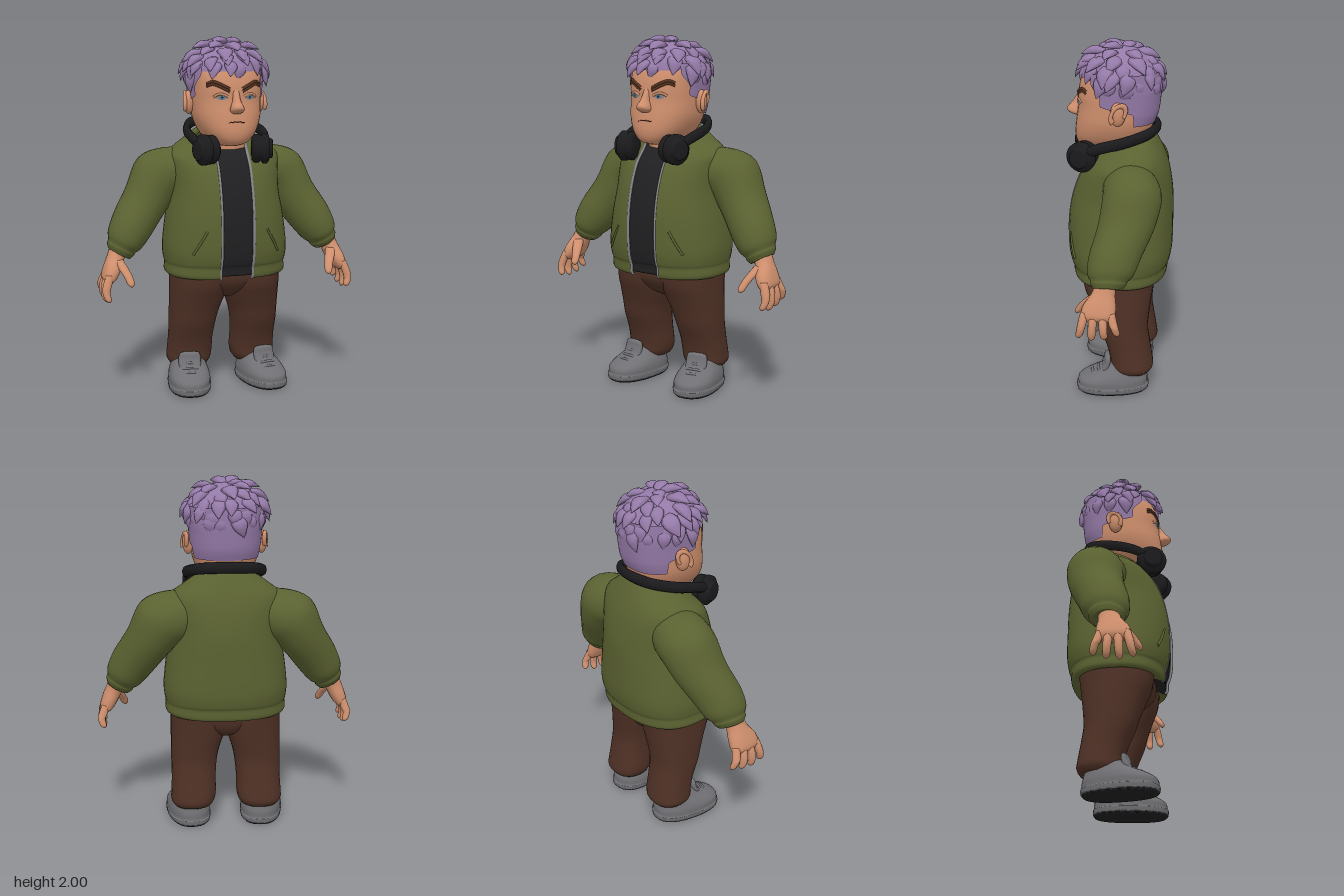
import * as THREE from 'three';
import { mergeGeometries } from 'three/addons/utils/BufferGeometryUtils.js';

const mat = (name, color, side = THREE.FrontSide) => {
  const m = new THREE.MeshStandardMaterial({ color, side });
  m.name = name;
  return m;
};
const V = (x, y, z) => new THREE.Vector3(x, y, z);
let seed = 7;
const rnd = () => ((seed = (seed * 16807) % 2147483647) / 2147483647) - 0.5;

// Section key: [x, y, z, rx, rz, power, tilt, slope]; smoothly interpolated
function dense(keys, steps) {
  const full = keys.map(k => [0, 0, 0, 0, 0, 2, 0, 0].map((d, i) => k[i] ?? d));
  if (full[0][1] > full[full.length - 1][1]) full.reverse();
  const out = [];
  for (let i = 0; i < full.length - 1; i++) {
    const [a, b, c, d] = [-1, 0, 1, 2].map(o => full[Math.min(full.length - 1, Math.max(0, i + o))]);
    for (let s = 0; s < steps; s++) {
      const t = s / steps;
      out.push(b.map((v, q) => 0.5 * (2 * v + (c[q] - a[q]) * t + (2 * a[q] - 5 * v + 4 * c[q] - d[q]) * t * t
        + (3 * v - a[q] - 3 * c[q] + d[q]) * t * t * t)));
    }
  }
  out.push(full[full.length - 1]);
  return out;
}
const spow = (v, e) => Math.sign(v) * Math.abs(v) ** e;
function sectionPoint([x, y, z, rx, rz, p, tilt, slope], a) {
  const lx = rx * spow(Math.sin(a), 2 / p), lz = rz * spow(Math.cos(a), 2 / p);
  return V(x + lx * Math.cos(tilt), y + lx * Math.sin(tilt) - slope * lz, z + lz);
}
// Surface through the sections; start(key) gives the half angle of an opening at the front
function loft(keys, n = 28, steps = 4, start = null) {
  const rings = dense(keys, steps), pos = [], idx = [], cols = start ? n + 1 : n;
  rings.forEach(k => {
    const a0 = start ? start(k) : 0;
    for (let j = 0; j < cols; j++) pos.push(...sectionPoint(k, a0 + (j / n) * 2 * (Math.PI - a0)).toArray());
  });
  for (let i = 0; i < rings.length - 1; i++) for (let j = 0; j < n; j++) {
    const a = i * cols + j, b = i * cols + (j + 1) % cols;
    idx.push(a, b, a + cols, b, b + cols, a + cols);
  }
  if (!start) [0, rings.length - 1].forEach(r => {
    const c = pos.length / 3;
    pos.push(rings[r][0], rings[r][1], rings[r][2]);
    for (let j = 0; j < n; j++) {
      const a = r * cols + j, b = r * cols + (j + 1) % n;
      idx.push(...(r ? [a, b, c] : [b, a, c]));
    }
  });
  const g = new THREE.BufferGeometry();
  g.setAttribute('position', new THREE.Float32BufferAttribute(pos, 3));
  g.setIndex(idx);
  g.computeVertexNormals();
  return g;
}
const tube = (pts, r, seg = 24) => new THREE.TubeGeometry(new THREE.CatmullRomCurve3(pts), seg, r, 8);
const flip = (keys, s) => keys.map(k => k.map((v, i) => (i === 0 || i === 6 ? v * s : v)));

export function createModel() {
  const root = new THREE.Group();
  const skin = mat('skin', 0xcf8f6d), hairMat = mat('hair', 0x957aa8, THREE.DoubleSide);
  const green = mat('jacketGreen', 0x5b6231, THREE.DoubleSide), brown = mat('trouserBrown', 0x4f3125);
  const grey = mat('shoeGrey', 0x707074), black = mat('headphoneBlack', 0x1b1b1d), dark = mat('shirtCharcoal', 0x202022);
  const metal = mat('zipGrey', 0x85858a), browMat = mat('browBrown', 0x54321f), blue = mat('irisBlue', 0x587a90);
  const add = (name, geo, m, parent = root) => {
    const mesh = new THREE.Mesh(geo, m);
    mesh.name = name;
    parent.add(mesh);
    return mesh;
  };

  // Jacket body, open at the front, with turned-in hem and collar
  const body = [[0, 0.695, 0, 0.29, 0.2, 2.4], [0, 0.672, 0, 0.325, 0.25, 2.4], [0, 0.69, 0, 0.345, 0.265, 2.4],
    [0, 0.735, 0, 0.342, 0.268, 2.4], [0, 0.76, 0, 0.348, 0.28, 2.4], [0, 0.84, 0, 0.353, 0.293, 2.4], [0, 1.0, 0, 0.335, 0.295, 2.3],
    [0, 1.15, -0.01, 0.31, 0.282, 2.3], [0, 1.28, -0.025, 0.315, 0.248, 2.3], [0, 1.355, -0.035, 0.315, 0.212, 2.2, 0, 0.06],
    [0, 1.412, -0.03, 0.245, 0.182, 2, 0, 0.2], [0, 1.46, -0.025, 0.17, 0.155, 2, 0, 0.28], [0, 1.435, -0.025, 0.15, 0.14, 2, 0, 0.28]];
  const opening = k => Math.asin(Math.min(0.9, 0.095 / k[3]) ** (k[5] / 2));
  add('jacketBody', loft(body, 48, 4, opening), green);
  const rows = dense(body, 2).slice(2, -2);
  for (const s of [1, -1]) {
    add('zipEdge', tube(rows.map(k => sectionPoint(k, s * opening(k)).add(V(-s * 0.004, 0, -0.004))), 0.008, 50), metal);
    add('pocketWelt', tube([V(s * 0.17, 0.95, 0.268), V(s * 0.205, 0.89, 0.259), V(s * 0.245, 0.82, 0.239)], 0.007), green);
  }
  const inner = body.slice(2, 10).map(k => k.map((v, i) => (i === 3 || i === 4 ? v * 0.955 : v)));
  add('shirt', loft([...inner, [0, 1.385, -0.01, 0.14, 0.13]], 40), dark);

  // Neck and head
  add('neck', loft([[0, 1.3, -0.01, 0.13, 0.13], [0, 1.42, -0.01, 0.13, 0.14], [0, 1.58, -0.02, 0.14, 0.15]]), skin);
  const head = [[0, 1.405, 0.1, 0.05, 0.08, 2.2], [0, 1.425, 0.08, 0.1, 0.155, 2.3], [0, 1.48, 0.055, 0.15, 0.2, 2.4],
    [0, 1.56, 0.035, 0.183, 0.215, 2.4], [0, 1.65, 0.025, 0.19, 0.212, 2.4], [0, 1.73, 0.02, 0.19, 0.215, 2.5],
    [0, 1.82, 0.005, 0.19, 0.205, 2.3], [0, 1.9, 0, 0.14, 0.15], [0, 1.93, 0, 0.03, 0.03]];
  add('head', loft(head, 40), skin);
  const skull = dense(head, 20);
  const face = (x, y, lift = 0.003) => {
    const k = skull.reduce((m, c) => (Math.abs(c[1] - y) < Math.abs(m[1] - y) ? c : m));
    return V(x, y, k[2] + k[4] * (1 - Math.abs(x / k[3]) ** k[5]) ** (1 / k[5]) + lift);
  };
  const patch = (x0, y0, rx, ry, lift) => {
    const g = new THREE.CircleGeometry(1, 20).scale(rx, ry, 1), p = g.attributes.position;
    for (let i = 0; i < p.count; i++) p.setXYZ(i, ...face(x0 + p.getX(i), y0 + p.getY(i), lift).toArray());
    g.computeVertexNormals();
    return g;
  };
  add('nose', loft([[0, 1.585, 0.24, 0.02, 0.02], [0, 1.6, 0.252, 0.038, 0.04], [0, 1.622, 0.258, 0.036, 0.046],
    [0, 1.655, 0.242, 0.022, 0.034], [0, 1.7, 0.222, 0.02, 0.024], [0, 1.73, 0.212, 0.02, 0.015]], 16), skin);
  add('mouth', tube([-0.045, -0.02, 0, 0.02, 0.045].map(x => face(x, 1.542 - Math.abs(x) * 0.1, -0.001)), 0.0028), browMat);
  for (const s of [1, -1]) {
    add('eye', patch(s * 0.08, 1.672, 0.027, 0.013, 0.003), metal);
    add('iris', patch(s * 0.078, 1.673, 0.015, 0.013, 0.005), blue);
    add('pupil', patch(s * 0.078, 1.673, 0.006, 0.006, 0.007), black);
    add('eyelid', tube([0.045, 0.07, 0.095, 0.118].map((x, i) => face(s * x, [1.677, 1.689, 1.69, 1.676][i], 0)), 0.007), skin);
    // Brows slant down towards the nose
    const brow = [0.035, 0.06, 0.09, 0.12, 0.148].map((x, i) => face(s * x, [1.711, 1.724, 1.739, 1.75, 1.738][i], -0.003));
    [-0.007, 0.007].forEach(o => add('eyebrow', tube(brow.map(p => p.clone().add(V(0, o, 0))), 0.009), browMat));
    const ear = new THREE.Group();
    ear.name = 'ear';
    add('earShell', new THREE.SphereGeometry(1, 20, 14).scale(0.03, 0.066, 0.042), skin, ear);
    add('earRim', new THREE.TorusGeometry(0.04, 0.012, 8, 24, Math.PI * 1.5).scale(0.85, 1.3, 1).rotateY(Math.PI / 2).rotateX(-0.6)
      .translate(s * 0.02, 0.005, 0), skin, ear);
    ear.position.set(s * 0.205, 1.64, 0.002);
    ear.rotation.y = s * 0.25;
    root.add(ear);
  }

  // Hair: short back and sides with sideburns, crown and overlapping pointed locks
  const sides = [[0, 1.565, 0.025, 0.19, 0.212, 2.4], [0, 1.62, 0.015, 0.198, 0.222, 2.4], [0, 1.7, 0.008, 0.203, 0.226, 2.4],
    [0, 1.76, 0.005, 0.207, 0.228, 2.4], [0, 1.85, 0, 0.207, 0.222, 2.3]];
  add('hairSides', loft(sides, 40, 10, k => {
    const edge = -0.08 + 0.18 * THREE.MathUtils.smoothstep(k[1], 1.63, 1.68) + 0.05 * THREE.MathUtils.smoothstep(k[1], 1.72, 1.8);
    return Math.acos(spow((edge - k[2]) / k[4], k[5] / 2));
  }), hairMat);
  add('hairCrown', new THREE.SphereGeometry(1, 28, 12, 0, Math.PI * 2, 0, 1.45).scale(0.212, 0.178, 0.225).translate(0, 1.79, 0), hairMat);
  const lock = loft([[0, 0, -0.016, 0.026, 0.012], [0, 0.045, 0.004, 0.045, 0.021], [0, 0.09, 0.006, 0.036, 0.018],
    [0, 0.14, -0.008, 0.001, 0.001]], 8, 2);
  const locks = [];
  [[0.15, 3], [0.45, 7], [0.75, 10], [1.02, 13], [1.25, 15], [1.47, 16]].forEach(([t0, count], row) => {
    for (let i = 0; i < count; i++) {
      const t = t0 + rnd() * 0.14, f = ((i + (row % 2) / 2 + rnd() * 0.5) / count) * Math.PI * 2;
      if (row === 5 && Math.sin(f) > 0.5) continue;
      const at = (a, r = 1) => V(0.208 * r * Math.sin(a) * Math.cos(f), 1.79 + 0.178 * r * Math.cos(a), 0.218 * r * Math.sin(a) * Math.sin(f));
      const n = at(t, 1.1).sub(at(t)).normalize();
      const lift = row > 3 ? 0.05 : 0.2;
      const dir = at(t + 0.05).sub(at(t)).normalize().addScaledVector(n, lift + rnd() * 0.2)
        .add(V(rnd() * 0.6 - 0.15, 0, rnd() * 0.6 + 0.15)).normalize();
      const x = V(0, 0, 0).crossVectors(dir, n).normalize(), z = V(0, 0, 0).crossVectors(x, dir);
      const size = (row === 4 && Math.sin(f) > 0.5 ? 0.75 : 0.92) + rnd() * 0.25;
      const m = new THREE.Matrix4().makeBasis(x, dir, z).scale(V(size, size, size)).setPosition(at(t - 0.12));
      locks.push(lock.clone().applyMatrix4(m));
    }
  });
  add('hairLocks', mergeGeometries(locks), hairMat);

  // Headphones resting round the neck
  const half = [[0.185, 1.41, 0.19], [0.212, 1.45, 0.1], [0.21, 1.485, -0.03], [0.14, 1.52, -0.16]];
  const band = [...half.map(([x, y, z]) => V(-x, y / 1.5, z)), V(0, 1.53 / 1.5, -0.2), ...half.reverse().map(([x, y, z]) => V(x, y / 1.5, z))];
  add('headphoneBand', tube(band, 0.021, 60).scale(1, 1.5, 1), black);
  for (const s of [1, -1]) {
    const cup = new THREE.Group();
    cup.name = 'headphoneCup';
    const disc = [[0, -0.06], [0.06, -0.06], [0.078, -0.045], [0.08, -0.02], [0.068, -0.008], [0.084, 0.002], [0.084, 0.025],
      [0.07, 0.037], [0.056, 0.04], [0.054, 0.054], [0.045, 0.058], [0, 0.058]].map(p => new THREE.Vector2(...p));
    add('cupShell', new THREE.LatheGeometry(disc, 32).rotateZ(-s * Math.PI / 2), black, cup);
    cup.position.set(s * 0.162, 1.39, 0.2);
    cup.rotation.y = -s * 0.3;
    root.add(cup);
  }

  // Trousers
  add('trouserSeat', loft([[0, 0.53, -0.015, 0.05, 0.08], [0, 0.57, -0.01, 0.15, 0.15, 2.2],
    [0, 0.64, 0, 0.26, 0.193, 2.4], [0, 0.72, 0, 0.3, 0.2, 2.4]], 36), brown);

  for (const s of [1, -1]) {
    add('trouserLeg', loft(flip([[0.15, 0.72, 0, 0.165, 0.208, 2.3], [0.152, 0.62, 0, 0.164, 0.196, 2.3], [0.161, 0.54, -0.01, 0.156, 0.175, 2.3],
      [0.175, 0.46, -0.02, 0.142, 0.155, 2.3], [0.184, 0.38, -0.03, 0.133, 0.14, 2.3],
      [0.188, 0.28, -0.058, 0.128, 0.126, 2.3], [0.19, 0.2, -0.075, 0.13, 0.122, 2.3], [0.195, 0.15, -0.08, 0.126, 0.122, 2.3],
      [0.195, 0.12, -0.08, 0.108, 0.105, 2.3]], s)), brown);

    // Sleeve with a gathered cuff
    add('sleeve', loft(flip([[0.16, 1.27, -0.06, 0.11, 0.13, 2, 1.35], [0.27, 1.25, -0.08, 0.146, 0.155, 2, 1.15],
      [0.37, 1.21, -0.09, 0.157, 0.158, 2, 0.85], [0.445, 1.09, -0.065, 0.132, 0.15, 2, 0.65], [0.53, 0.965, -0.018, 0.122, 0.138, 2, 0.62],
      [0.578, 0.885, 0.002, 0.106, 0.124, 2, 0.55], [0.597, 0.848, 0.01, 0.084, 0.098, 2, 0.5], [0.605, 0.832, 0.012, 0.083, 0.094, 2, 0.5],
      [0.615, 0.808, 0.016, 0.068, 0.074, 2, 0.5]], s)), green);

    // Hand with four fingers and a thumb
    const hand = new THREE.Group();
    hand.name = 'hand';
    add('palm', loft(flip([[0.615, 0.85, 0.02, 0.05, 0.055, 2, 0.4], [0.638, 0.79, 0.035, 0.048, 0.064, 2, 0.4], [0.662, 0.735, 0.052, 0.046, 0.087, 2.3, 0.35],
      [0.684, 0.685, 0.058, 0.038, 0.09, 2.4, 0.3], [0.692, 0.66, 0.058, 0.02, 0.07, 2, 0.3]], s), 20), skin, hand);
    for (let i = 0; i < 4; i++) {
      const z = -0.01 + i * 0.045, spread = (i - 1.5) * 0.015, drop = [0.022, 0, -0.008, 0.004][i];
      add('finger', loft(flip([[0.685, 0.71, z, 0.023, 0.022], [0.704, 0.655, z + spread * 0.6, 0.025, 0.023],
        [0.711, 0.61 + drop, z + spread, 0.021, 0.021], [0.702, 0.575 + drop, z + spread * 1.4, 0.018, 0.018],
        [0.697, 0.56 + drop, z + spread * 1.5, 0.005, 0.005]], s), 12), skin, hand);
    }
    add('thumb', loft(flip([[0.635, 0.785, 0.07, 0.03, 0.032], [0.61, 0.74, 0.115, 0.028, 0.03], [0.59, 0.7, 0.152, 0.024, 0.024],
      [0.58, 0.665, 0.175, 0.02, 0.019], [0.577, 0.648, 0.182, 0.005, 0.005]], s), 14), skin, hand);
    root.add(hand);

    // Shoe, toes turned slightly out
    const shoe = new THREE.Group();
    shoe.name = 'shoe';
    add('sole', loft([[0, 0, 0, 0.112, 0.198, 2.4], [0, 0.009, 0, 0.118, 0.205, 2.4]], 28, 1), dark, shoe);
    add('upper', loft([[0, 0.009, 0, 0.12, 0.207, 2.4], [0, 0.035, 0, 0.124, 0.21, 2.4], [0, 0.043, 0, 0.119, 0.203, 2.4], [0, 0.075, -0.002, 0.119, 0.2, 2.4],
      [0, 0.105, -0.02, 0.112, 0.175, 2.3], [0, 0.135, -0.052, 0.1, 0.14, 2.2], [0, 0.175, -0.08, 0.085, 0.108], [0, 0.19, -0.085, 0.07, 0.09]]), grey, shoe);
    add('tongue', loft([[0, 0.1, 0.065, 0.06, 0.03, 2.6], [0, 0.17, 0.035, 0.064, 0.02, 2.6], [0, 0.207, 0.03, 0.058, 0.016, 2.6],
      [0, 0.216, 0.029, 0.04, 0.008, 2.6]], 20), grey, shoe);
    [[0.082, 0.128], [0.052, 0.15], [0.115, 0.11]].forEach(([z, y]) =>
      add('lace', tube([V(-0.07, y - 0.02, z - 0.02), V(-0.03, y + 0.004, z), V(0.03, y + 0.004, z), V(0.07, y - 0.02, z - 0.02)], 0.009), grey, shoe));
    shoe.position.set(s * 0.218, 0, 0.03);
    shoe.rotation.y = s * 0.16;
    root.add(shoe);
  }
  return root;
}
